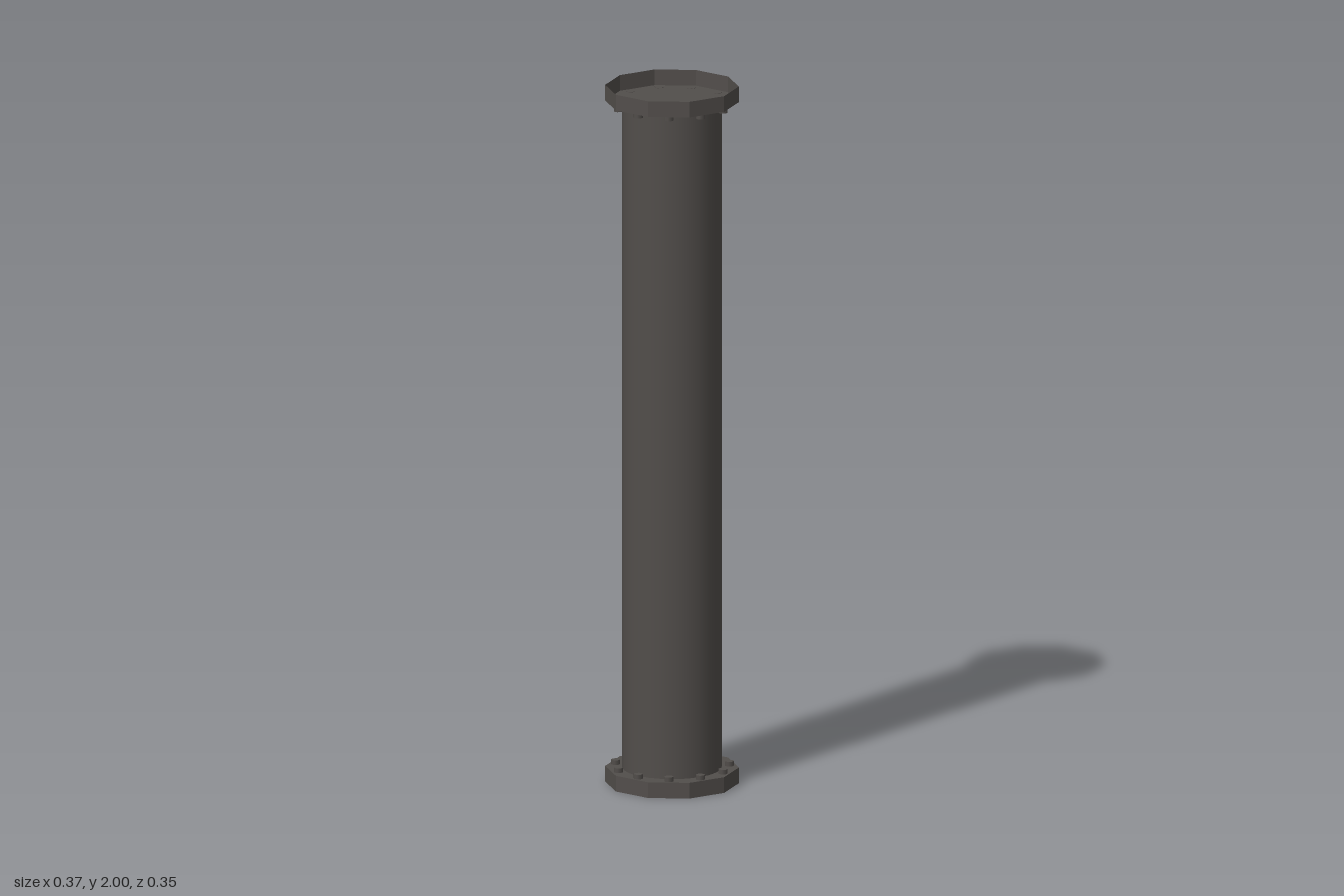
import * as THREE from 'three';

export function createModel() {
  const group = new THREE.Group();
  const steel = new THREE.MeshStandardMaterial({ color: 0x524e4b, side: THREE.DoubleSide });
  steel.name = 'dark steel';

  const rim = 0.186, pipeRadius = 0.139, thick = 0.045, boltCount = 11;

  const add = (parent, name, geometry, x, y, z) => {
    const mesh = new THREE.Mesh(geometry, steel);
    mesh.name = name;
    mesh.position.set(x, y, z);
    parent.add(mesh);
    return mesh;
  };

  // Smooth capped pipe, ending just inside the flange recesses
  add(group, 'pipe', new THREE.CylinderGeometry(pipeRadius, pipeRadius, 1.916, 24), 0, 1, 0);

  // Ten-sided flange wall, with a corner on the x axis, and its plate
  const wall = new THREE.CylinderGeometry(rim, rim, thick, 10, 1, true, Math.PI / 10).toNonIndexed();
  wall.computeVertexNormals();
  const plate = new THREE.CircleGeometry(rim, 10).rotateX(-Math.PI / 2);
  const bolt = new THREE.CylinderGeometry(0.013, 0.013, 0.014, 8);

  for (const top of [false, true]) {
    const flange = new THREE.Group();
    flange.name = top ? 'topFlange' : 'bottomFlange';
    group.add(flange);
    const inner = top ? 2 - thick : thick;
    add(flange, 'flangeWall', wall, 0, top ? 2 - thick / 2 : thick / 2, 0);
    const disc = add(flange, 'flangePlate', plate, 0, inner, 0);
    if (top) disc.rotation.x = Math.PI; // plate faces the pipe side

    // Ring of bolt heads on the pipe side of the plate
    for (let i = 0; i < boltCount; i++) {
      const a = -0.06 + (i / boltCount) * Math.PI * 2;
      add(flange, 'bolt', bolt, 0.16 * Math.sin(a), inner + (top ? -0.006 : 0.006), 0.16 * Math.cos(a));
    }
  }
  return group;
}
